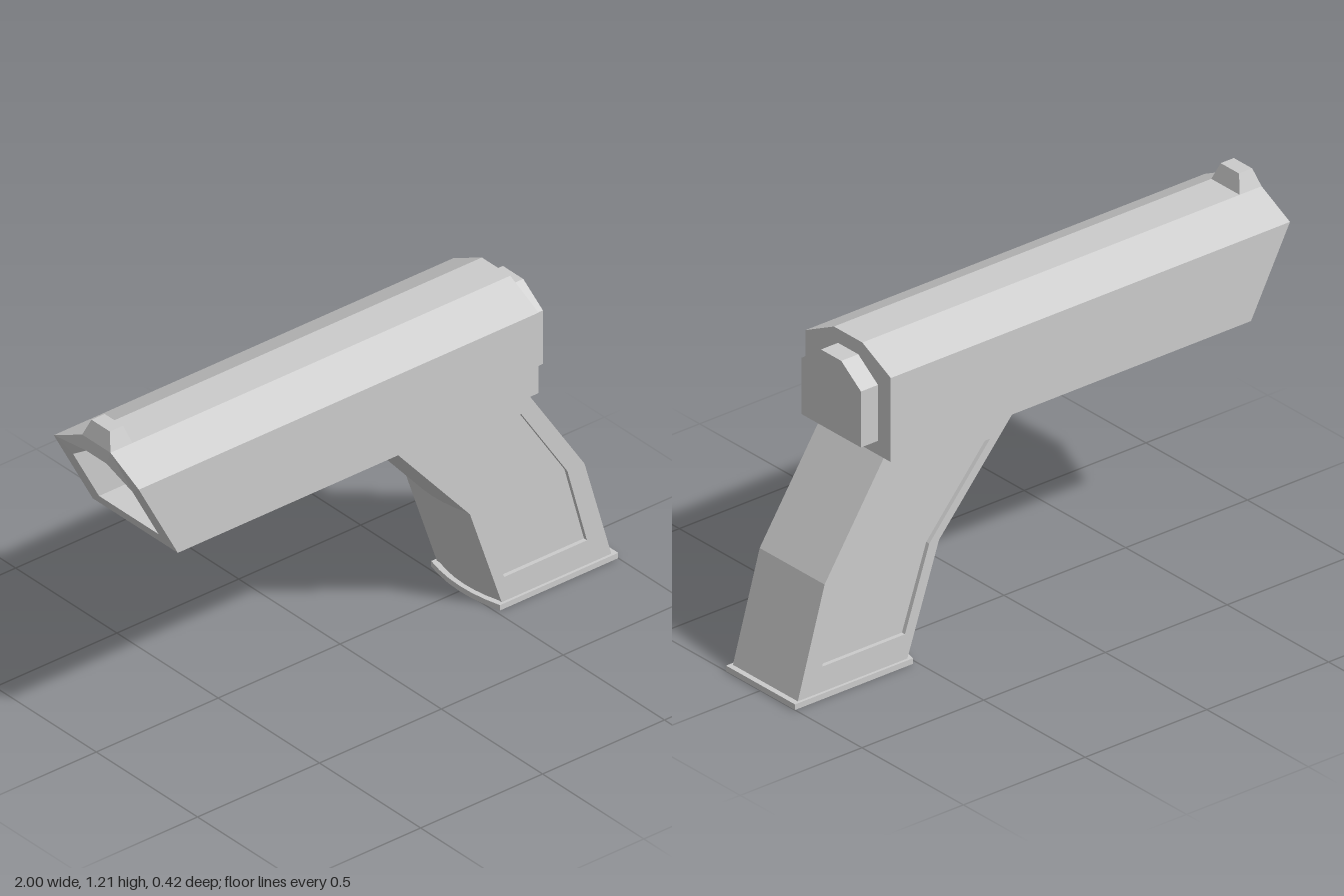
import * as THREE from 'three';

const material = new THREE.MeshStandardMaterial({ color: 0xcccccc, flatShading: true });
const points = (list) => list.map(([x, y]) => new THREE.Vector2(x, y));

function addMesh(group, name, geometry) {
  geometry.computeVertexNormals();
  const mesh = new THREE.Mesh(geometry, material);
  mesh.name = name;
  group.add(mesh);
  return mesh;
}

// Extrudes an outline along z from z0 to z1, with an optional hole
function extrude(outline, z0, z1, hole, steps = 1) {
  const shape = new THREE.Shape(points(outline));
  if (hole) shape.holes.push(new THREE.Path(points(hole)));
  return new THREE.ExtrudeGeometry(shape, { depth: z1 - z0, steps, bevelEnabled: false })
    .translate(0, 0, z0);
}

// Moves every vertex by a rule
function reshape(geometry, rule) {
  const pos = geometry.attributes.position;
  const v = new THREE.Vector3();
  for (let i = 0; i < pos.count; i++) {
    rule(v.fromBufferAttribute(pos, i));
    pos.setXYZ(i, v.x, v.y, v.z);
  }
  return geometry;
}

// Gabled cross-section shared by the slide, its bore and the end cap
const gable = (half, topHalf, bottom, shoulder, top) => [
  [-half, bottom], [half, bottom], [half, shoulder],
  [topHalf, top], [-topHalf, top], [-half, shoulder],
];

export function createModel() {
  const model = new THREE.Group();
  model.name = 'pistol';

  // Hollow slide with the muzzle cut back below the shoulder
  const bore = gable(0.147, 0.05, 0.83, 1.03, 1.10);
  const slide = extrude(gable(0.21, 0.07, 0.78, 1.08, 1.15), -1, 0.64, bore).rotateY(Math.PI / 2);
  reshape(slide, (v) => {
    if (v.x < -0.9) v.x += Math.max(0, 1.08 - v.y) * (0.16 / 0.3);
  });
  addMesh(model, 'slide', slide);

  // Cap closing the rear of the slide
  addMesh(model, 'rearCap', extrude(bore, 0.62, 0.71).rotateY(Math.PI / 2));

  // Tapered front sight
  const sight = new THREE.BoxGeometry(0.09, 0.06, 0.14).translate(-0.955, 1.18, 0);
  reshape(sight, (v) => {
    if (v.y > 1.18) {
      v.x = -0.955 + (v.x + 0.955) * 0.6;
      v.z *= 0.65;
    }
  });
  addMesh(model, 'frontSight', sight);

  // Grip core with a rounded front strap
  const front = [[0.07, 0.78], [0.40, 0.40], [0.53, 0.02]];
  const back = [[0.98, 0.02], [0.87, 0.40], [0.62, 0.78]];
  const outline = [...front, ...back];
  const inner = 0.145;
  const core = extrude(outline, -inner, inner, null, 6);
  reshape(core, (v) => {
    const onFront = front.some(([x, y]) => Math.hypot(v.x - x, v.y - y) < 1e-4);
    if (onFront) v.x -= 0.022 * (1 - (v.z / inner) ** 2);
  });
  addMesh(model, 'gripCore', core);

  // Raised side frames leave a recessed panel on each side
  const panel = [[0.19, 0.69], [0.44, 0.40], [0.54, 0.11], [0.88, 0.11], [0.80, 0.40], [0.61, 0.69]];
  addMesh(model, 'leftGripFrame', extrude(outline, inner, 0.16, panel));
  addMesh(model, 'rightGripFrame', extrude(outline, -0.16, -inner, panel));

  // Base plate with the same rounded front
  const base = extrude([[0.515, 0], [1, 0], [1, 0.02], [0.515, 0.02]], -0.17, 0.17, null, 6);
  reshape(base, (v) => {
    if (v.x < 0.6) v.x -= 0.025 * (1 - (v.z / 0.17) ** 2);
  });
  // Plate top and bottom follow the bulge because they are side walls of the extrusion
  addMesh(model, 'basePlate', base);

  return model;
}
